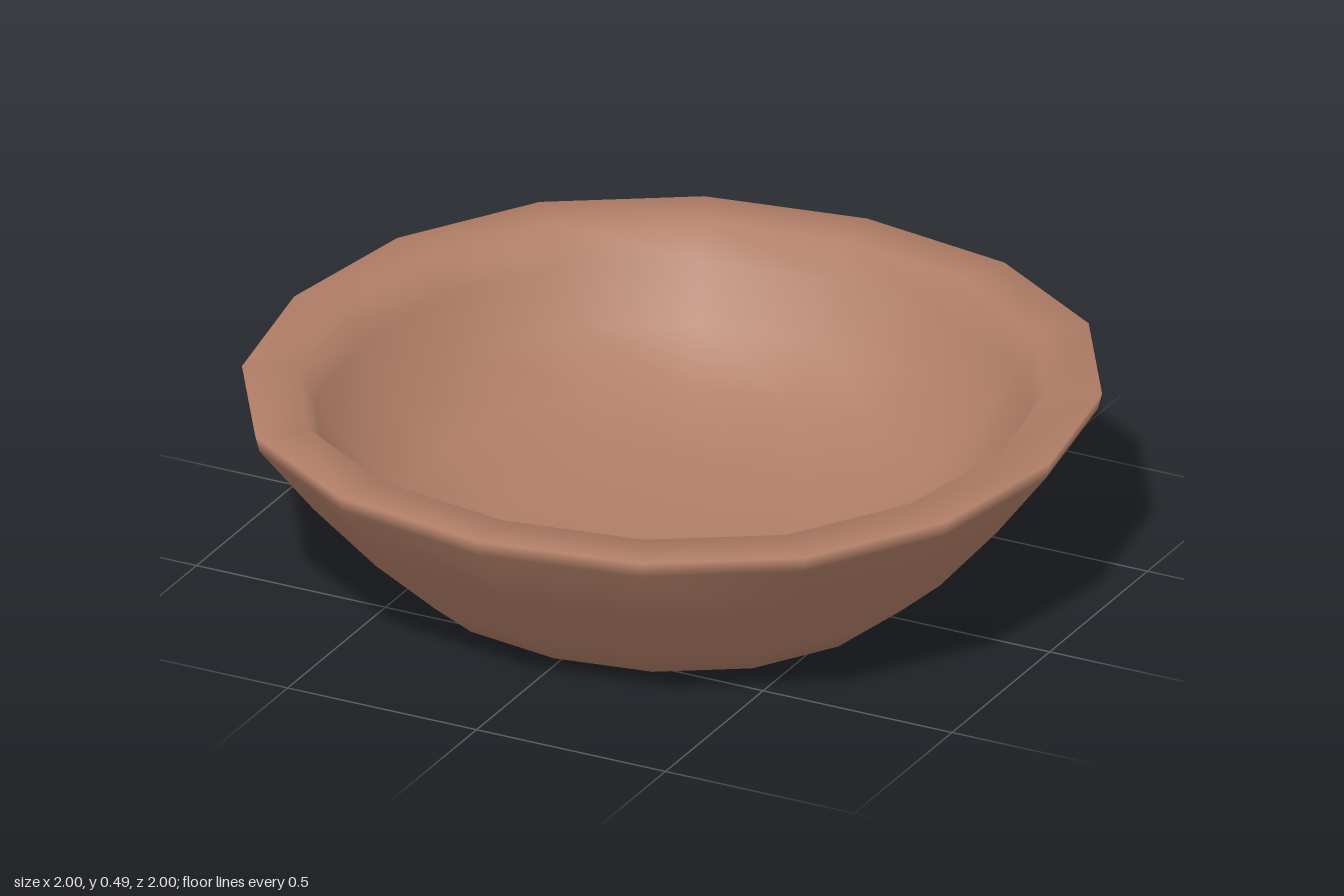
import * as THREE from 'three';
import { mergeVertices } from 'three/addons/utils/BufferGeometryUtils.js';

// Closed half-section (radius, height): underside, outer wall, rim, inner wall, floor
const SECTION = [
  [0, 0], [0.33, 0.003], [0.605, 0.02], [0.71, 0.11], [0.86, 0.28], [0.99, 0.45], [1, 0.49],
  [0.87, 0.49], [0.83, 0.4], [0.74, 0.28], [0.62, 0.17], [0.4, 0.1], [0, 0.08],
];

// Widens the round outline a little on its diagonals
function squareOff(geometry) {
  const p = geometry.attributes.position;
  for (let i = 0; i < p.count; i++) {
    const r = Math.hypot(p.getX(i), p.getZ(i));
    const a = Math.atan2(p.getX(i), p.getZ(i));
    const radius = r * (1 + 0.028 * Math.sin(2 * a) ** 2);
    const angle = a + 0.01 * Math.sin(4 * a);
    p.setX(i, radius * Math.sin(angle));
    p.setZ(i, radius * Math.cos(angle));
  }
}

export function createModel() {
  const group = new THREE.Group();
  group.name = 'bowl';

  // 16-sided thick-walled bowl
  let geometry = new THREE.LatheGeometry(SECTION.map(([r, y]) => new THREE.Vector2(r, y)), 16);
  squareOff(geometry);

  // Weld the seam so the shading is smooth all round
  geometry.deleteAttribute('normal');
  geometry.deleteAttribute('uv');
  geometry = mergeVertices(geometry, 1e-4);
  geometry.computeVertexNormals();

  const body = new THREE.Mesh(geometry, new THREE.MeshStandardMaterial({ color: 0xb07d66 }));
  body.name = 'bowlBody';
  group.add(body);
  return group;
}
